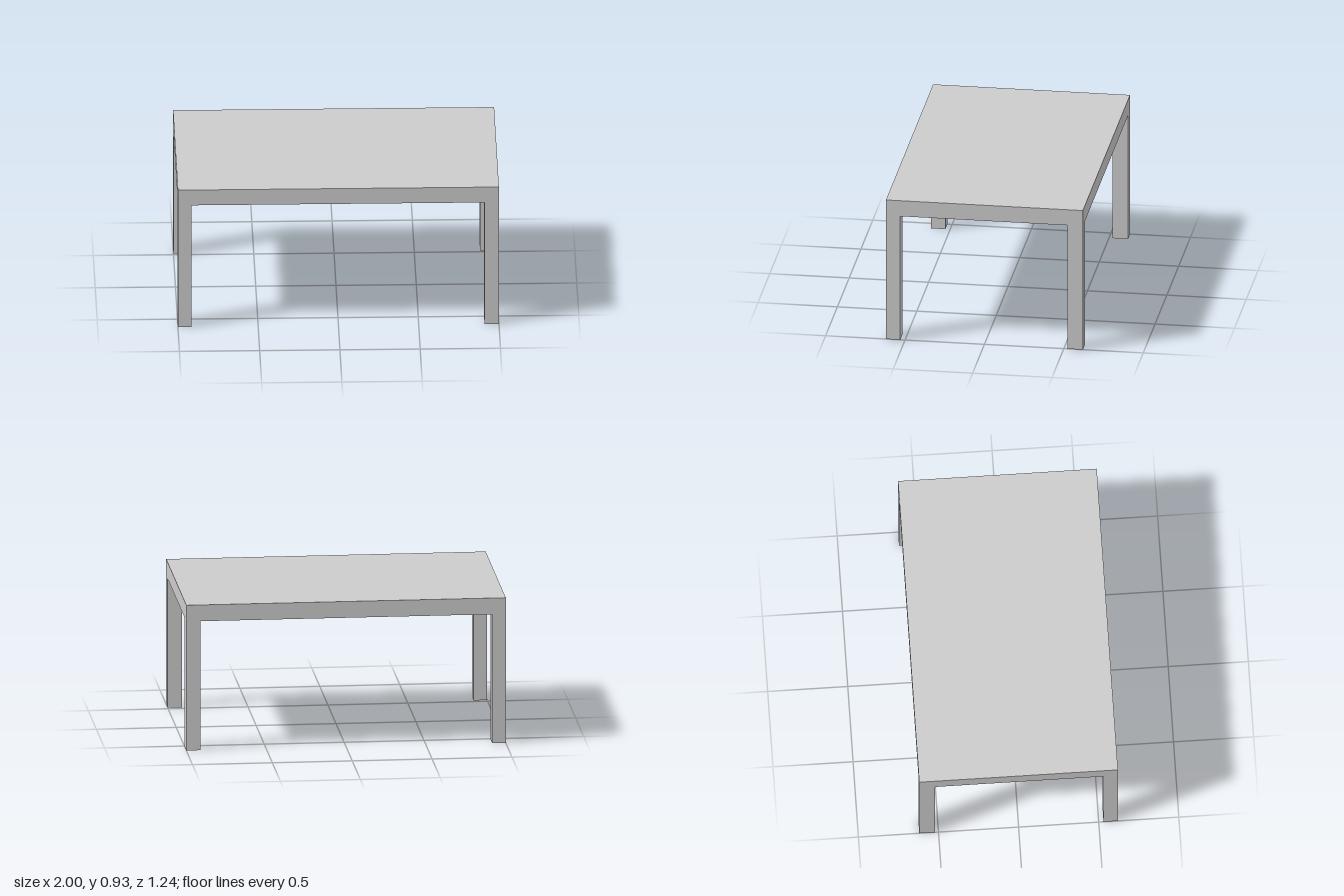
import * as THREE from 'three';

const HALF_X = 1, HALF_Z = 0.62, HEIGHT = 0.93, UNDERSIDE = 0.826;

export function createModel() {
  const table = new THREE.Group();
  table.name = 'table';
  const material = new THREE.MeshStandardMaterial({ color: 0xcccccc });

  const addBox = (name, w, h, d, x, y, z) => {
    const mesh = new THREE.Mesh(new THREE.BoxGeometry(w, h, d), material);
    mesh.name = name;
    mesh.position.set(x, y, z);
    table.add(mesh);
  };

  // Thick slab top
  const thickness = HEIGHT - UNDERSIDE;
  addBox('tableTop', HALF_X * 2, thickness, HALF_Z * 2, 0, UNDERSIDE + thickness / 2, 0);

  // Four square legs, flush with the corners of the top
  for (const [xName, sx, w] of [['Left', 1, 0.09], ['Right', -1, 0.085]]) {
    for (const [zName, sz, d] of [['front', 1, 0.09], ['back', -1, 0.098]]) {
      addBox(`${zName}${xName}Leg`, w, UNDERSIDE, d,
        sx * (HALF_X - w / 2), UNDERSIDE / 2, sz * (HALF_Z - d / 2));
    }
  }
  return table;
}
